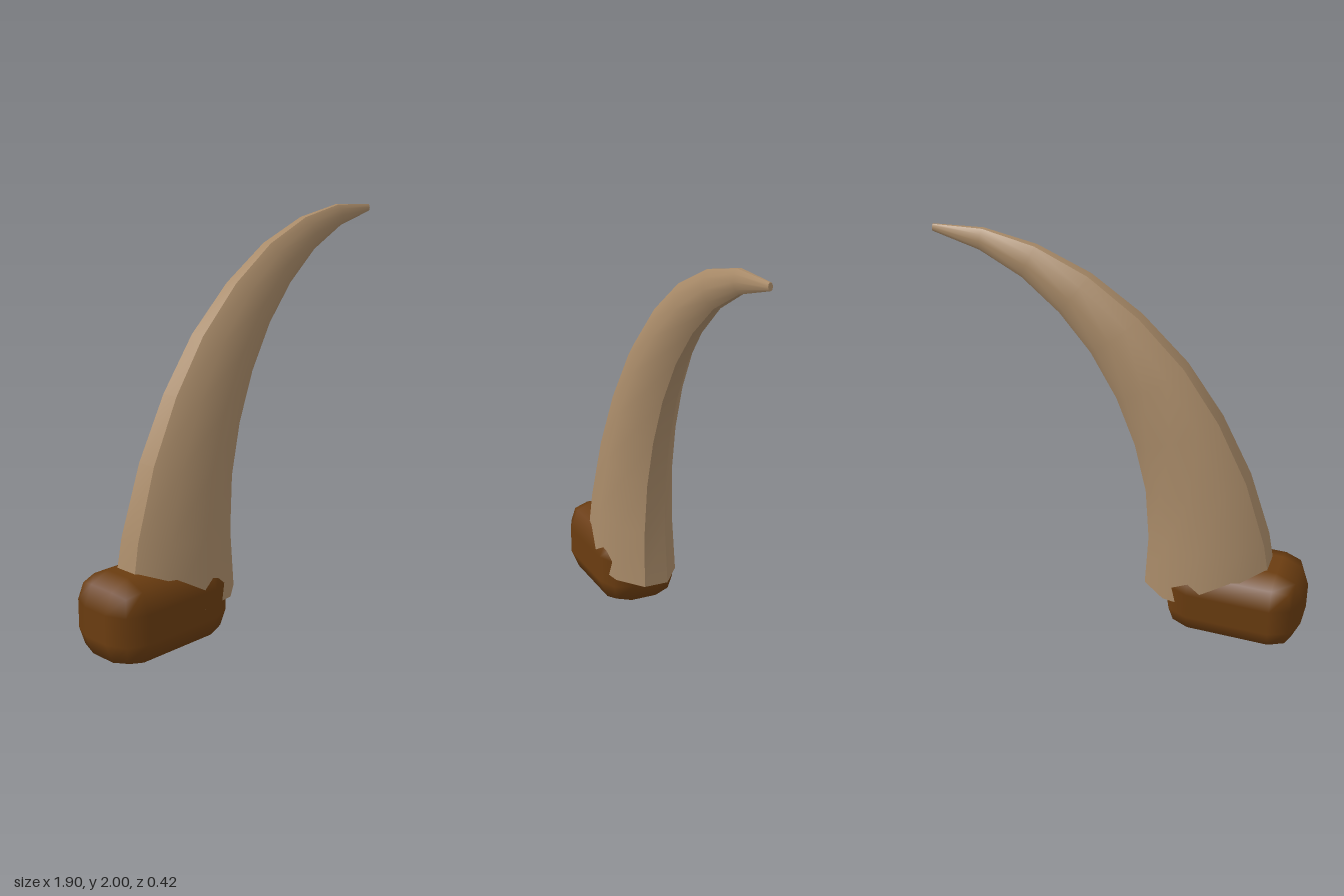
import * as THREE from 'three';
import { RoundedBoxGeometry } from 'three/addons/geometries/RoundedBoxGeometry.js';
import { toCreasedNormals } from 'three/addons/utils/BufferGeometryUtils.js';

const SIDES = 10;

// Outer and inner edge of each horn ring in the x-y plane, from root to tip.
const RINGS = [
  [-0.797, 0.22, -0.13, 0.19],
  [-0.735, 0.56, -0.145, 0.475],
  [-0.625, 0.895, -0.125, 0.75],
  [-0.475, 1.195, -0.065, 1.0],
  [-0.298, 1.45, 0.03, 1.24],
  [-0.075, 1.67, 0.16, 1.46],
  [0.17, 1.84, 0.315, 1.64],
  [0.43, 1.95, 0.5, 1.79],
  [0.69, 2.0, 0.71, 1.895],
  [0.945, 1.99, 0.947, 1.955],
];

// Curved, tapering horn: ten-sided oval rings with a flat strip inside and outside the bend.
function hornGeometry() {
  const positions = [];
  const index = [];
  const step = (Math.PI * 2) / SIDES;
  for (const [ox, oy, ix, iy] of RINGS) {
    const cx = (ox + ix) / 2, cy = (oy + iy) / 2;
    const ux = (ix - ox) / 2, uy = (iy - oy) / 2;
    const depth = 0.63 * Math.hypot(ux, uy);
    for (let j = 0; j < SIDES; j++) {
      const angle = (j + 0.5) * step;
      const c = Math.cos(angle) / Math.cos(step / 2);
      positions.push(cx + ux * c, cy + uy * c, depth * Math.sin(angle));
    }
  }
  for (let i = 0; i < RINGS.length - 1; i++) {
    for (let j = 0; j < SIDES; j++) {
      const a = i * SIDES + j, b = i * SIDES + ((j + 1) % SIDES);
      index.push(a, a + SIDES, b, b, a + SIDES, b + SIDES);
    }
  }
  // End caps
  const last = (RINGS.length - 1) * SIDES;
  for (let j = 1; j < SIDES - 1; j++) {
    index.push(0, j, j + 1);
    index.push(last, last + j + 1, last + j);
  }
  const geometry = new THREE.BufferGeometry();
  geometry.setAttribute('position', new THREE.Float32BufferAttribute(positions, 3));
  geometry.setIndex(index);
  return toCreasedNormals(geometry, THREE.MathUtils.degToRad(35));
}

export function createModel() {
  const model = new THREE.Group();
  model.name = 'hornOnBase';

  const hornMaterial = new THREE.MeshStandardMaterial({ color: 0xa88a68 });
  hornMaterial.name = 'horn tan';
  const baseMaterial = new THREE.MeshStandardMaterial({ color: 0x6a3c10 });
  baseMaterial.name = 'dark brown';

  const horn = new THREE.Mesh(hornGeometry(), hornMaterial);
  horn.name = 'horn';

  // Rounded block holding the root of the horn
  const base = new THREE.Mesh(new RoundedBoxGeometry(0.7, 0.42, 0.42, 1, 0.14), baseMaterial);
  base.name = 'base';
  base.position.set(-0.6, 0.21, 0);

  model.add(horn, base);
  return model;
}
